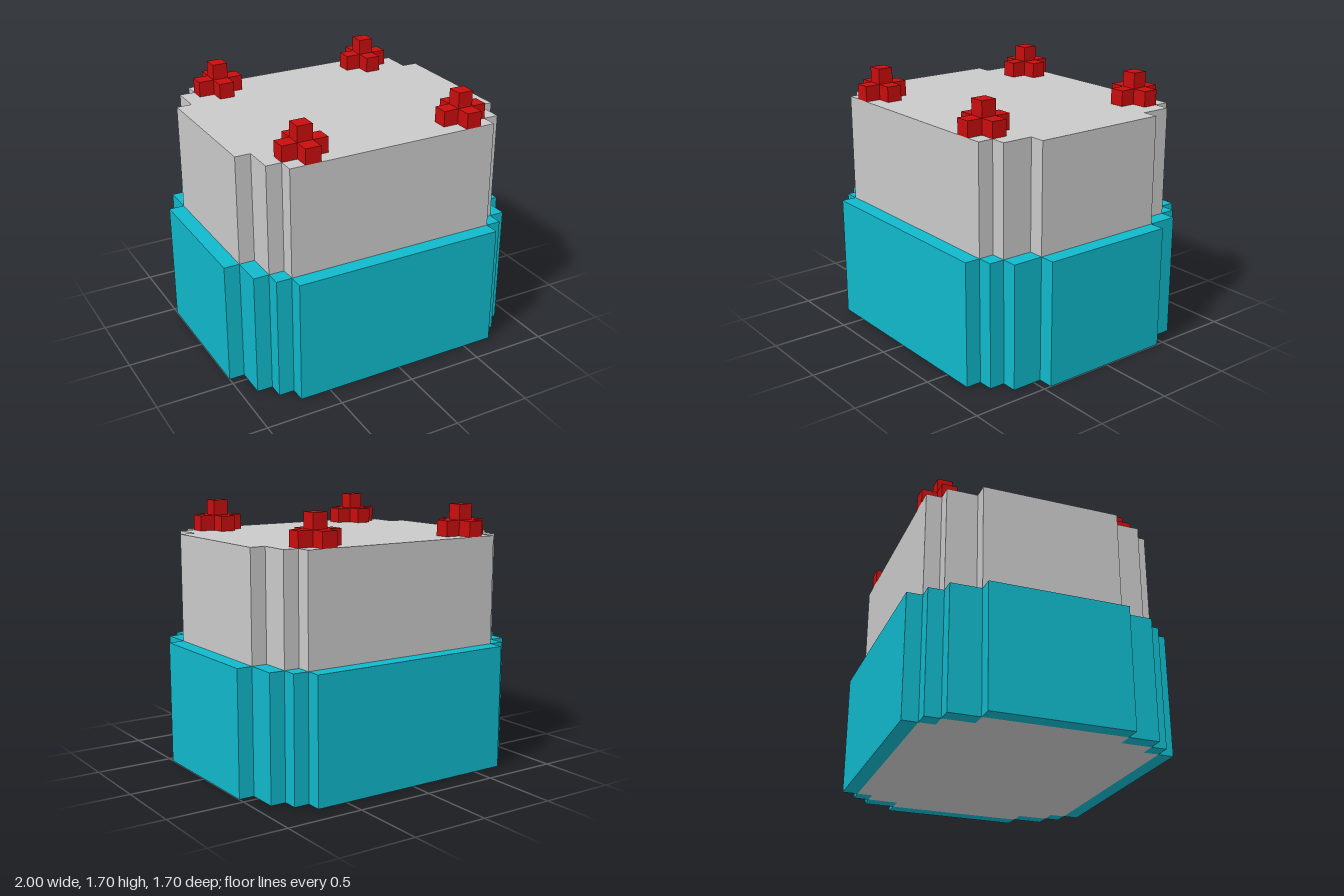
import * as THREE from 'three';

export function createModel() {
  const model = new THREE.Group();
  const grey = new THREE.MeshStandardMaterial({ name: 'light grey', color: 0xc9c9c9 });
  const cyan = new THREE.MeshStandardMaterial({ name: 'cyan', color: 0x10b8cb });
  const red = new THREE.MeshStandardMaterial({ name: 'red', color: 0xc90d0d });

  // Box given by its size, x/z centre and bottom height
  const block = (parent, name, material, w, h, d, x, y, z) => {
    const mesh = new THREE.Mesh(new THREE.BoxGeometry(w, h, d), material);
    mesh.name = name;
    mesh.position.set(x, y + h / 2, z);
    parent.add(mesh);
  };

  // Core: one solid with stepped corners, from the ground to the top
  const quarter = [[0.9, 0.45], [0.8, 0.45], [0.8, 0.65], [0.7, 0.65], [0.7, 0.75]];
  const flip = (sx, sz) => quarter.map(([x, z]) => new THREE.Vector2(x * sx, z * sz));
  const outline = [
    ...flip(1, 1), ...flip(-1, 1).reverse(), ...flip(-1, -1), ...flip(1, -1).reverse(),
  ];
  const coreGeometry = new THREE.ExtrudeGeometry(new THREE.Shape(outline), { depth: 1.5, bevelEnabled: false });
  coreGeometry.rotateX(-Math.PI / 2);
  const core = new THREE.Mesh(coreGeometry, grey);
  core.name = 'core';
  model.add(core);

  // Lower wrap: plates on the four sides and blocks filling the corner steps
  const wrap = new THREE.Group();
  wrap.name = 'lowerWrap';
  model.add(wrap);
  for (const s of [1, -1]) {
    block(wrap, s > 0 ? 'frontPlate' : 'backPlate', cyan, 1.4, 0.8, 0.1, 0, 0, 0.8 * s);
    block(wrap, s > 0 ? 'leftPlate' : 'rightPlate', cyan, 0.1, 0.8, 0.9, 0.95 * s, 0, 0);
    for (const t of [1, -1]) {
      block(wrap, 'cornerPlate', cyan, 0.1, 0.8, 0.2, 0.85 * s, 0, 0.55 * t);
      block(wrap, 'cornerPost', cyan, 0.1, 0.8, 0.1, 0.75 * s, 0, 0.7 * t);
    }
  }

  // Four cross-shaped studs, each of five low cubes and one raised cube
  const cubes = [[0, 0, 0], [1, 0, 0], [-1, 0, 0], [0, 0, 1], [0, 0, -1], [0, 1, 0]];
  for (const sx of [1, -1]) {
    for (const sz of [1, -1]) {
      const stud = new THREE.Group();
      stud.name = `${sz > 0 ? 'front' : 'back'}${sx > 0 ? 'Left' : 'Right'}Stud`;
      stud.position.set(0.55 * sx, 1.5, 0.6 * sz);
      for (const [x, y, z] of cubes) {
        block(stud, 'studCube', red, 0.1, 0.1, 0.1, x * 0.1, y * 0.1, z * 0.1);
      }
      model.add(stud);
    }
  }
  return model;
}
